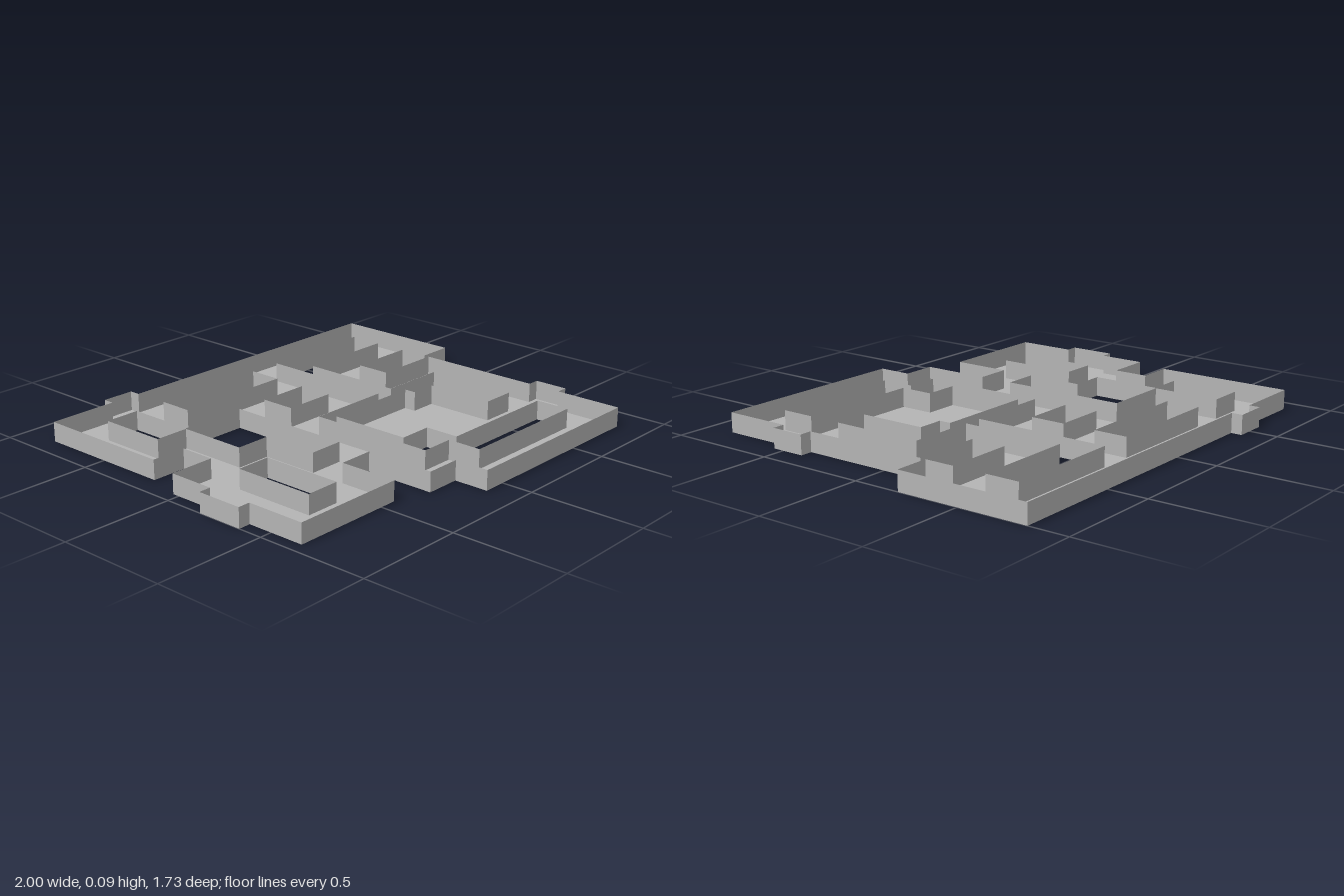
import * as THREE from 'three';

const WALL_HEIGHT = 0.088;

// Outlines as x, z corner pairs
const rect = (x0, z0, x1, z1) => [[x0, z0], [x1, z0], [x1, z1], [x0, z1]];

const outer = [
  [-0.9, -0.82], [-0.58, -0.82], [-0.58, -0.87], [-0.43, -0.87], [-0.43, -0.82],
  [1, -0.82], [1, -0.215], [0.84, -0.215], [0.84, -0.35], [0.525, -0.35],
  [0.525, -0.19], [0.84, -0.19], [0.84, 0.395], [0.895, 0.395], [0.895, 0.55],
  [0.84, 0.55], [0.84, 0.86], [-0.105, 0.86], [-0.105, 0.705], [-0.265, 0.705],
  [-0.265, 0.39], [-0.425, 0.39], [-0.425, 0.655], [-0.945, 0.655], [-0.945, 0.39],
  [-1, 0.39], [-1, 0.18], [-0.945, 0.18], [-0.945, -0.03], [-0.74, -0.03],
  [-0.74, -0.19], [-0.9, -0.19],
];

// Void between the west corridors
const westVoid = [
  [-0.74, -0.66], [-0.578, -0.66], [-0.578, -0.35], [-0.265, -0.35], [-0.265, 0.23],
  [-0.425, 0.23], [-0.425, -0.03], [-0.583, -0.03], [-0.583, -0.345], [-0.74, -0.345],
];

// Void winding round the central room
const eastVoid = [
  [0.285, -0.66], [0.84, -0.66], [0.84, -0.505], [0.37, -0.505], [0.37, -0.03],
  [0.68, -0.03], [0.68, 0.395], [0.525, 0.395], [0.525, 0.08], [0.405, 0.08],
  [0.405, 0.025], [-0.055, 0.025], [-0.055, 0.395], [0.1, 0.395], [0.1, 0.55],
  [0.68, 0.55], [0.68, 0.705], [0.05, 0.705], [0.05, 0.55], [-0.105, 0.55],
  [-0.105, -0.03], [0.285, -0.03],
];

const voids = [
  westVoid,
  eastVoid,
  rect(-0.425, -0.66, 0.13, -0.505),
  rect(-0.11, -0.35, 0.13, -0.19),
  rect(-0.74, 0.13, -0.583, 0.5),
];

// Upright sheet following a closed outline, one flat quad per side
function wallGeometry(outline) {
  const pos = [];
  outline.forEach(([x0, z0], i) => {
    const [x1, z1] = outline[(i + 1) % outline.length];
    const h = WALL_HEIGHT;
    pos.push(x0, 0, z0, x0, h, z0, x1, h, z1, x0, 0, z0, x1, h, z1, x1, 0, z1);
  });
  const geo = new THREE.BufferGeometry();
  geo.setAttribute('position', new THREE.Float32BufferAttribute(pos, 3));
  geo.computeVertexNormals();
  return geo;
}

export function createModel() {
  const group = new THREE.Group();
  group.name = 'mazeFloorPlan';
  const stone = new THREE.MeshStandardMaterial({ color: 0xb4b4b4, side: THREE.DoubleSide });
  stone.name = 'stone grey';

  const add = (name, geo) => {
    const mesh = new THREE.Mesh(geo, stone);
    mesh.name = name;
    group.add(mesh);
  };

  // Floor of rooms and corridors
  const toPoints = (o) => o.map(([x, z]) => new THREE.Vector2(x, -z));
  const shape = new THREE.Shape(toPoints(outer));
  voids.forEach((v) => shape.holes.push(new THREE.Path(toPoints(v))));
  add('floor', new THREE.ShapeGeometry(shape).rotateX(-Math.PI / 2));

  // Walls along every edge of the floor
  add('outerWall', wallGeometry(outer));
  voids.forEach((v, i) => add(`innerWall${i + 1}`, wallGeometry([...v].reverse())));

  return group;
}
